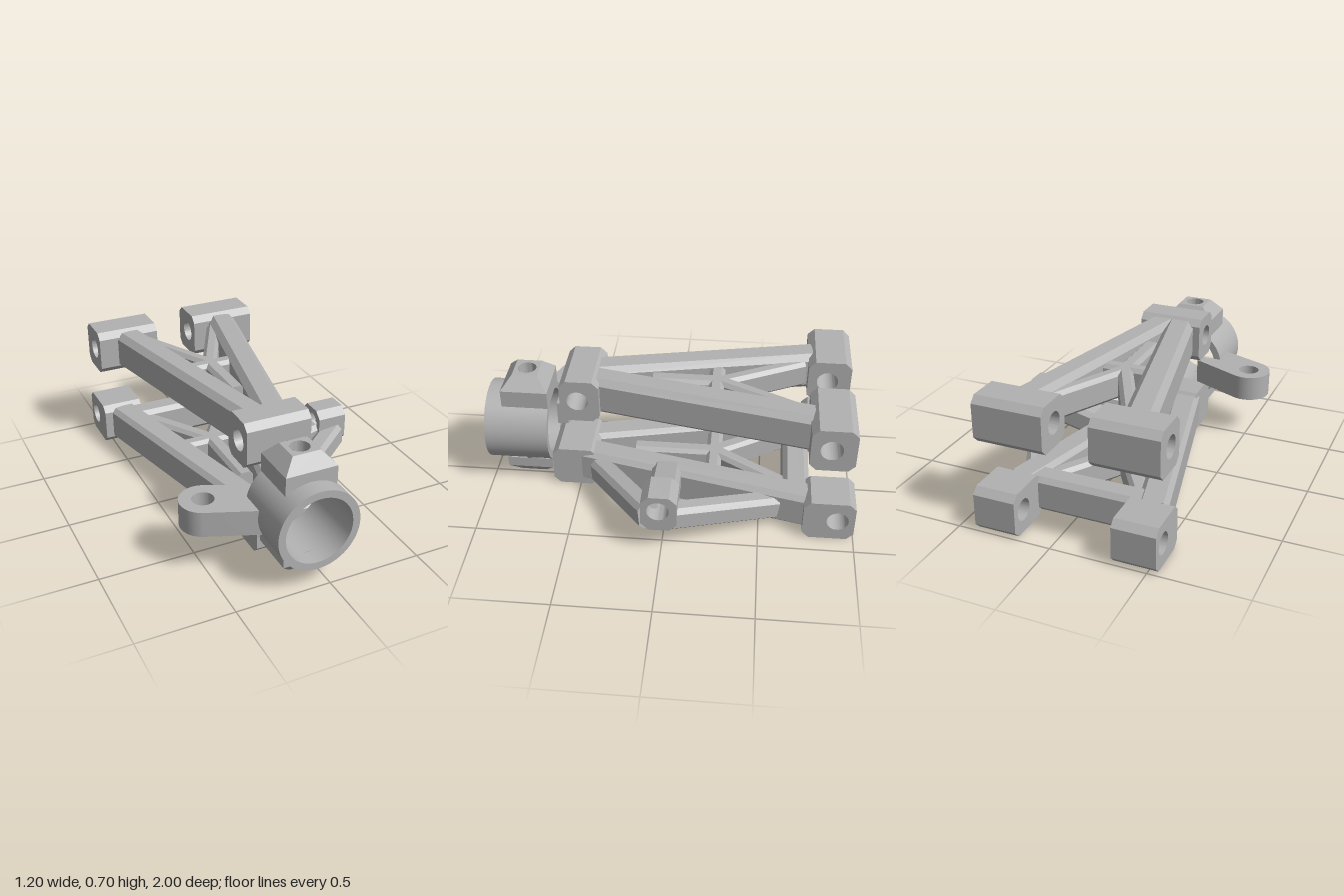
import * as THREE from 'three';
import { toCreasedNormals } from 'three/addons/utils/BufferGeometryUtils.js';

const CX = -0.07; // centre line of the arms and hub

export function createModel() {
  const model = new THREE.Group();
  const grey = new THREE.MeshStandardMaterial({ color: 0xb2b2b2, side: THREE.DoubleSide });
  grey.name = 'grey';

  function add(name, geometry, parent = model) {
    const mesh = new THREE.Mesh(toCreasedNormals(geometry, 0.5), grey);
    mesh.name = name;
    parent.add(mesh);
    return mesh;
  }

  // Rectangle with cut corners
  function octagon(w, h, c) {
    const x = w / 2, y = h / 2;
    return new THREE.Shape([
      [-x + c, -y], [x - c, -y], [x, -y + c], [x, y - c],
      [x - c, y], [-x + c, y], [-x, y - c], [-x, -y + c],
    ].map(p => new THREE.Vector2(...p)));
  }

  function punch(shape, x, y, r) {
    const hole = new THREE.Path();
    hole.absarc(x, y, r, 0, Math.PI * 2, true);
    shape.holes.push(hole);
    return shape;
  }

  const extrude = (shape, depth) =>
    new THREE.ExtrudeGeometry(shape, { depth, bevelEnabled: false, curveSegments: 32 });

  // Pivot block drilled along x
  function block(name, [x0, x1], [y0, y1], [z0, z1], holeY, holeZ, c = 0.035) {
    const cy = (y0 + y1) / 2, cz = (z0 + z1) / 2;
    const shape = punch(octagon(z1 - z0, y1 - y0, c), cz - holeZ, holeY - cy, 0.057);
    const g = extrude(shape, x1 - x0);
    g.rotateY(Math.PI / 2);
    g.translate(x0, cy, cz);
    add(name, g);
  }

  // Chamfered bar between two points
  function beam(name, a, b, w, h, c = 0.025) {
    const p = new THREE.Vector3(...a), q = new THREE.Vector3(...b);
    const dir = q.clone().sub(p), length = dir.length();
    dir.normalize();
    const right = new THREE.Vector3(0, 1, 0).cross(dir).normalize();
    const up = dir.clone().cross(right);
    const g = extrude(octagon(w, h, c), length);
    g.applyMatrix4(new THREE.Matrix4().makeBasis(right, up, dir).setPosition(p));
    add(name, g);
  }

  // Upper arm blocks
  block('upperFrontPivot', [-0.245, 0.105], [0.46, 0.705], [0.37, 0.58], 0.585, 0.485);
  block('upperRearPivotRight', [-0.545, -0.197], [0.46, 0.705], [-0.96, -0.73], 0.585, -0.835);
  block('upperRearPivotLeft', [0.038, 0.405], [0.46, 0.705], [-0.96, -0.73], 0.585, -0.835);

  // Lower arm blocks
  block('lowerFrontPivot', [-0.22, 0.08], [0, 0.235], [0.4, 0.65], 0.12, 0.595);
  block('lowerRearPivotRight', [-0.545, -0.32], [0, 0.235], [-1, -0.73], 0.12, -0.91);
  block('lowerRearPivotLeft', [0.183, 0.405], [0, 0.235], [-1, -0.73], 0.12, -0.91);

  // Long beams and the diagonal braces between them
  for (const s of [-1, 1]) {
    beam('upperBeam', [CX + s * 0.29, 0.583, -0.75], [CX + s * 0.05, 0.583, 0.4], 0.158, 0.215, 0.032);
    beam('lowerBeam', [CX + s * 0.355, 0.12, -0.75], [CX + s * 0.07, 0.12, 0.49], 0.155, 0.2);
    beam('upperBrace', [CX + s * 0.22, 0.585, -0.7], [CX, 0.585, -0.26], 0.08, 0.15, 0.02);
    beam('lowerBrace', [CX + s * 0.28, 0.115, -0.68], [CX, 0.115, -0.24], 0.09, 0.15, 0.02);
  }
  beam('upperSpine', [CX, 0.585, -0.28], [CX, 0.585, 0.1], 0.09, 0.15, 0.02);
  beam('upperCrossBar', [CX - 0.16, 0.585, -0.24], [CX + 0.16, 0.585, -0.24], 0.085, 0.15, 0.02);
  beam('lowerSpine', [CX, 0.115, -0.26], [CX, 0.115, 0.2], 0.09, 0.15, 0.02);
  beam('lowerCrossBar', [CX - 0.22, 0.115, -0.24], [CX + 0.22, 0.115, -0.24], 0.085, 0.15, 0.02);
  beam('lowerRearBar', [CX - 0.32, 0.12, -0.69], [CX + 0.32, 0.12, -0.69], 0.14, 0.19);

  // Outrigger on the left side
  block('outriggerPivot', [0.435, 0.6], [0.165, 0.378], [-0.085, 0.1], 0.29, 0.012, 0.04);
  beam('outriggerBar', [0.12, 0.15, 0.005], [0.45, 0.225, 0.005], 0.16, 0.14);
  beam('outriggerFrontStrut', [0.1, 0.125, 0.38], [0.545, 0.215, 0.065], 0.115, 0.14);
  beam('outriggerRearStrut', [0.29, 0.115, -0.58], [0.545, 0.22, -0.04], 0.11, 0.135);

  // Hub ring
  const ring = new THREE.Shape();
  ring.absarc(0, 0, 0.217, 0, Math.PI * 2, false);
  punch(ring, 0, 0, 0.178);
  const ringGeometry = extrude(ring, 0.343);
  ringGeometry.translate(CX, 0.325, 0.657);
  add('hubRing', ringGeometry);

  // Tapered kingpin bosses with blind holes, above and below the ring
  function boss(name, tipY, wall, flip) {
    const g = new THREE.Group();
    g.name = name;
    const skirt = (r0, r1, h, y) => {
      const c = new THREE.CylinderGeometry(r1 * Math.SQRT2, r0 * Math.SQRT2, h, 4, 1, true);
      c.rotateY(Math.PI / 4);
      c.scale(1, 1, 0.92);
      c.translate(0, y, 0);
      return c;
    };
    add('bossWall', skirt(0.137, 0.137, wall, -0.07 - wall / 2), g);
    add('bossTaper', skirt(0.137, 0.074, 0.07, -0.035), g);
    const top = new THREE.ShapeGeometry(punch(octagon(0.148, 0.136, 0), 0, 0, 0.05), 32);
    top.rotateX(-Math.PI / 2);
    add('bossTop', top, g);
    const bore = new THREE.CylinderGeometry(0.05, 0.05, 0.12, 32, 1, true);
    bore.translate(0, -0.06, 0);
    add('bossBore', bore, g);
    g.position.set(CX, tipY, 0.782);
    if (flip) g.rotation.z = Math.PI;
    model.add(g);
  }
  boss('upperBoss', 0.665, 0.098, false);
  boss('lowerBoss', 0.02, 0.06, true);

  // Steering lug with a rounded end, joined to the back of the ring
  const lug = new THREE.Shape();
  lug.moveTo(-0.16, 0.6);
  lug.lineTo(-0.16, 0.66);
  lug.lineTo(-0.265, 0.66);
  lug.lineTo(-0.265, 0.8);
  lug.absarc(-0.48, 0.585, 0.12, 1.99, 5.14, false);
  lug.closePath();
  punch(lug, -0.48, 0.585, 0.056);
  const lugGeometry = extrude(lug, 0.137);
  lugGeometry.rotateX(Math.PI / 2);
  lugGeometry.translate(0, 0.371, 0);
  add('steeringLug', lugGeometry);

  return model;
}
